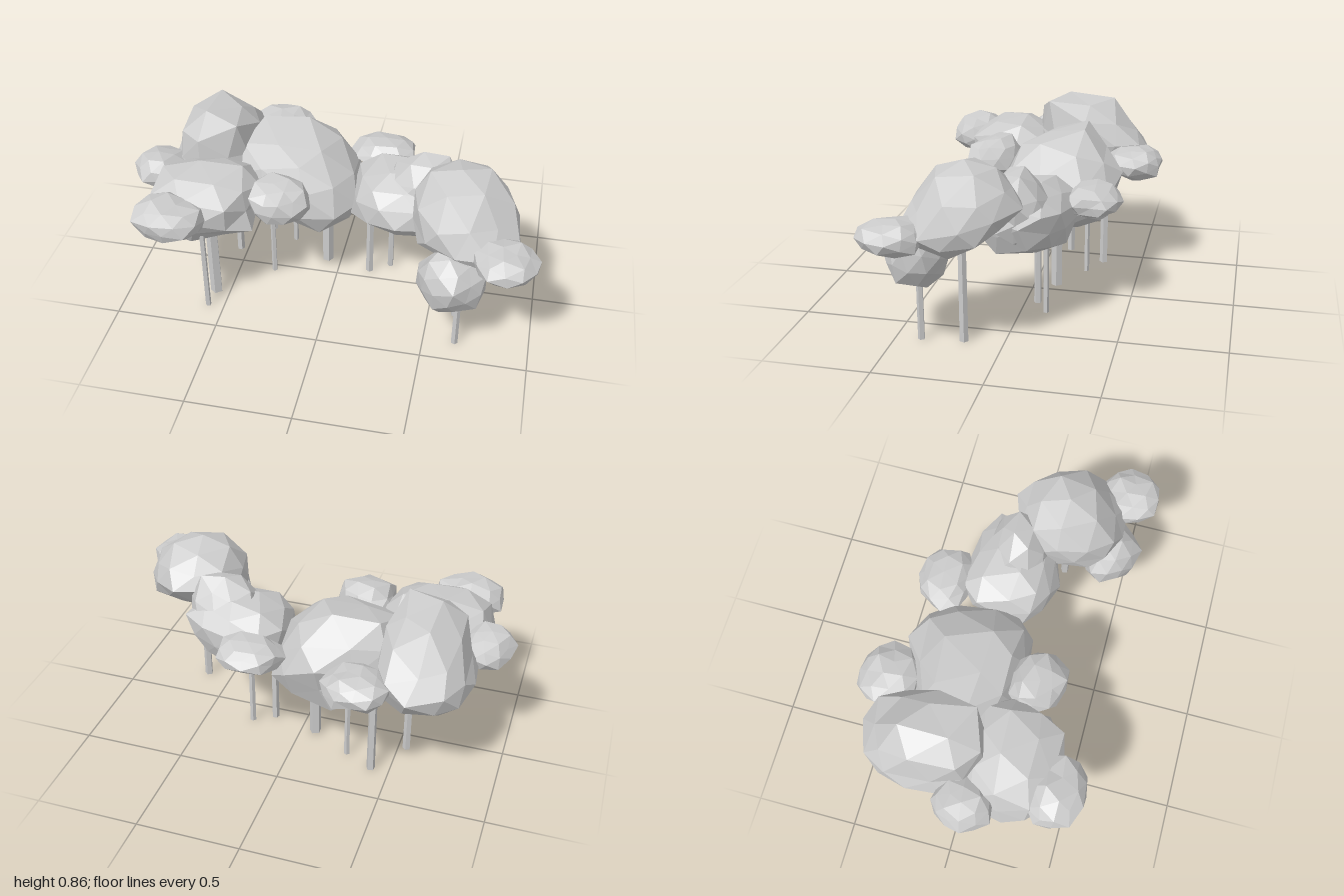
import * as THREE from 'three';
import { mergeVertices } from 'three/addons/utils/BufferGeometryUtils.js';

const material = new THREE.MeshStandardMaterial({ color: 0xcccccc, flatShading: true, side: THREE.DoubleSide });

function seeded(seed) {
  let s = seed * 7919 + 17;
  return () => (s = (s * 16807) % 2147483647) / 2147483647;
}

const bend = (t, p) => Math.sign(t) * Math.abs(t) ** p;

// Faceted clump of leaves filling the given x, y and z ranges.
// waist: height of the widest ring; lean: sideways shift of the peak in x and z;
// tilt: rise of the waist towards +x and +z;
// box: below 1 squares the plan; peak: above 1 sharpens the top.
function clump(seed, [x0, x1], [y0, y1], [z0, z1], waist, { lean = [0, 0], tilt = [0, 0], box = 1, peak = 1 } = {}) {
  let geo = new THREE.IcosahedronGeometry(1, 1);
  geo.deleteAttribute('normal');
  geo.deleteAttribute('uv');
  geo = mergeVertices(geo, 1e-3);
  geo.rotateX(seed * 1.3).rotateY(seed * 2.1);
  const rand = seeded(seed);
  const pos = geo.attributes.position;
  const v = new THREE.Vector3();
  for (let i = 0; i < 10; i++) rand();
  for (let i = 0; i < pos.count; i++) {
    v.fromBufferAttribute(pos, i).multiplyScalar(0.88 + 0.24 * rand());
    pos.setXYZ(i, v.x, v.y, v.z);
  }
  // fit to a unit box, then stretch to the ranges
  geo.computeBoundingBox();
  const c = geo.boundingBox.getCenter(new THREE.Vector3());
  const h = geo.boundingBox.getSize(new THREE.Vector3()).multiplyScalar(0.5);
  for (let i = 0; i < pos.count; i++) {
    v.fromBufferAttribute(pos, i).sub(c).divide(h);
    const up = Math.max(v.y, 0);
    const ring = 1 - v.y * v.y;
    pos.setXYZ(i,
      (x0 + x1) / 2 + bend(v.x, box) * (x1 - x0) / 2 + lean[0] * up,
      waist + (v.y > 0 ? v.y ** peak * (y1 - waist) : v.y * (waist - y0)) + ring * (tilt[0] * v.x + tilt[1] * v.z),
      (z0 + z1) / 2 + bend(v.z, box) * (z1 - z0) / 2 + lean[1] * up);
  }
  const flat = geo.toNonIndexed();
  flat.computeVertexNormals();
  return new THREE.Mesh(flat, material);
}

export function createModel() {
  const model = new THREE.Group();

  function addClumps(groupName, name, list) {
    const group = new THREE.Group();
    group.name = groupName;
    for (const args of list) {
      const mesh = clump(...args);
      mesh.name = name;
      group.add(mesh);
    }
    model.add(group);
  }

  // Large crowns
  addClumps('crowns', 'crown', [
    [1, [-0.86, -0.41], [0.4, 0.86], [-0.51, 0.08], 0.6, { lean: [0.05, 0.08], box: 0.78, peak: 1.5 }],
    [2, [-0.49, 0.11], [0.31, 0.79], [-0.42, 0.17], 0.54, { lean: [-0.09, 0], tilt: [-0.03, 0], box: 0.8, peak: 1.1 }],
    [3, [0.07, 0.58], [0.36, 0.69], [-0.26, 0.21], 0.54, { lean: [0.04, 0], box: 0.83 }],
    [5, [0.22, 0.58], [0.42, 0.78], [-0.2, 0.13], 0.58, { lean: [0.04, 0], peak: 1.4 }],
    [4, [0.4, 0.9], [0.45, 0.86], [-0.1, 0.45], 0.62, { lean: [-0.02, -0.03], tilt: [-0.02, -0.05], peak: 1.2 }],
    [5, [-0.88, -0.34], [0.39, 0.73], [-0.06, 0.45], 0.55, { lean: [0.04, 0], box: 0.87 }],
  ]);

  // Small side clumps
  addClumps('sideClumps', 'sideClump', [
    [11, [-0.52, -0.2], [0.49, 0.66], [-0.59, -0.31], 0.58],
    [12, [0.01, 0.34], [0.5, 0.64], [-0.47, -0.2], 0.57],
    [11, [0.7, 1.0], [0.49, 0.65], [0.29, 0.58], 0.57],
    [14, [0.45, 0.77], [0.24, 0.57], [0.25, 0.56], 0.41],
    [15, [-0.87, -0.53], [0.51, 0.7], [0.31, 0.58], 0.6],
    [16, [-0.38, -0.08], [0.52, 0.72], [0.1, 0.37], 0.62],
    [17, [-1.0, -0.73], [0.49, 0.67], [-0.1, 0.19], 0.58],
  ]);

  // Trunks: x, z, width, top
  const trunks = [
    [-0.57, 0.245, 0.055, 0.5], [-0.58, 0.36, 0.025, 0.5], [-0.54, -0.1, 0.035, 0.5],
    [-0.41, -0.3, 0.038, 0.5], [-0.32, 0.035, 0.025, 0.46], [-0.27, -0.23, 0.025, 0.46],
    [-0.07, -0.11, 0.052, 0.45], [0.16, -0.06, 0.034, 0.46], [0.26, -0.12, 0.027, 0.46],
    [0.63, 0.185, 0.037, 0.55], [0.65, 0.38, 0.03, 0.4],
  ];
  const trunkGroup = new THREE.Group();
  trunkGroup.name = 'trunks';
  trunks.forEach(([x, z, w, top], i) => {
    const m = new THREE.Mesh(new THREE.CylinderGeometry(w * 0.52, w * 0.56, top, 5), material);
    m.position.set(x, top / 2, z);
    m.rotation.y = i * 0.9;
    m.name = 'trunk';
    trunkGroup.add(m);
  });
  model.add(trunkGroup);

  return model;
}
